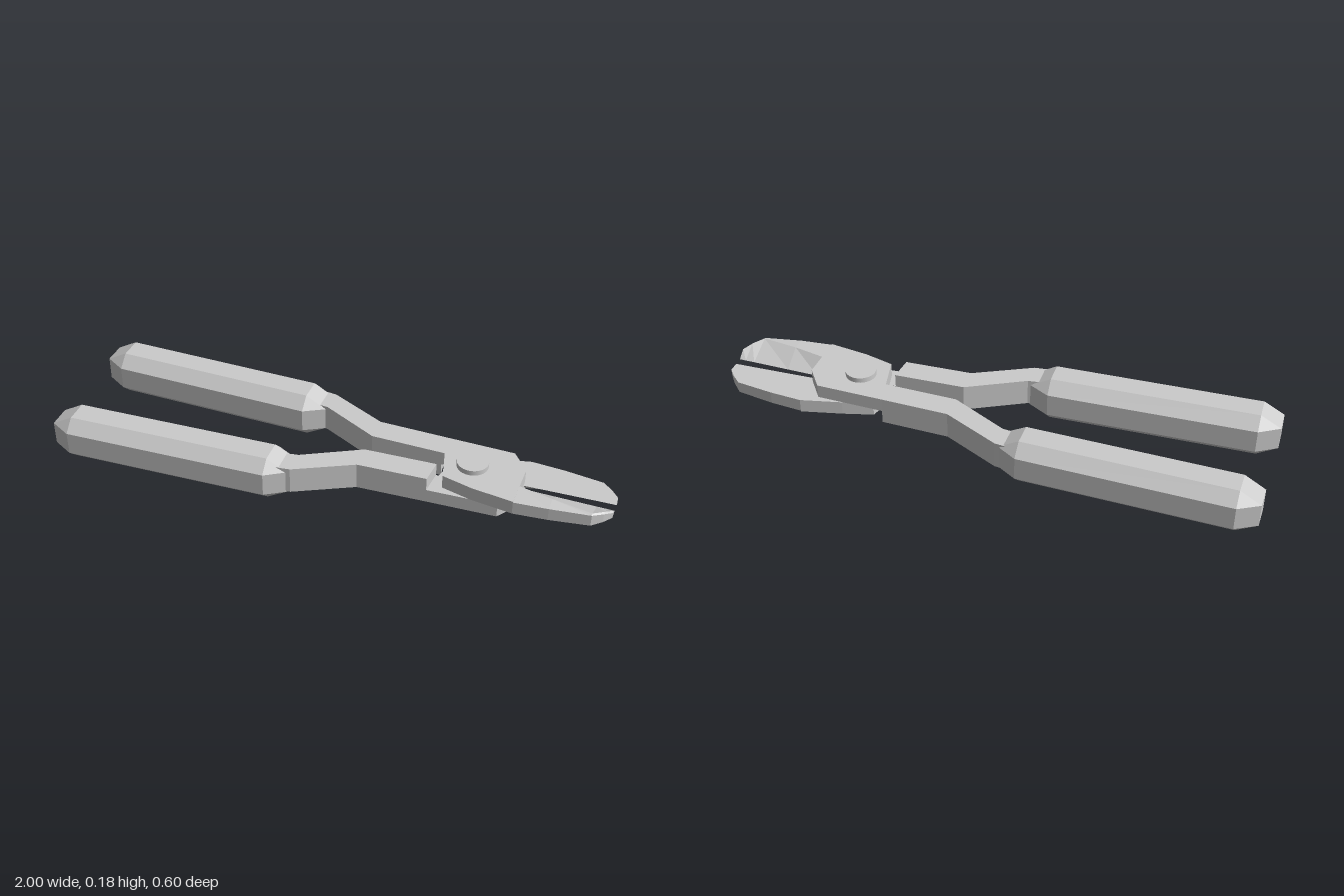
import * as THREE from 'three';
import { ConvexGeometry } from 'three/addons/geometries/ConvexGeometry.js';

const mat = new THREE.MeshStandardMaterial({ color: 0xcccccc, flatShading: true });
const smooth = new THREE.MeshStandardMaterial({ color: 0xcccccc });
const PIVOT = new THREE.Vector3(0.5, 0.097, -0.022);
const LOW = 0.097, BOTTOM = 0.048, TOP = 0.148;

function part(name, geometry, material = mat) {
  const mesh = new THREE.Mesh(geometry, material);
  mesh.name = name;
  return mesh;
}

// Flat plate from a plan outline of [x, z] points, between two heights
function plate(points, y0, y1) {
  const shape = new THREE.Shape(points.map(([x, z]) => new THREE.Vector2(x, -z)));
  const g = new THREE.ExtrudeGeometry(shape, { depth: y1 - y0, bevelEnabled: false });
  return g.rotateX(-Math.PI / 2).translate(0, y0, 0);
}

// Box with single-step bevels on all edges, slightly slanted along x
function gripGeometry(shiftY) {
  const half = [0.45, 0.085, 0.086], bevel = [0.075, 0.042, 0.044];
  const pts = [];
  for (let axis = 0; axis < 3; axis++)
    for (const sx of [-1, 1]) for (const sy of [-1, 1]) for (const sz of [-1, 1]) {
      const [x, y, z] = [sx, sy, sz].map((s, i) => s * (half[i] - (i === axis ? 0 : bevel[i])));
      pts.push(new THREE.Vector3(x - 0.55, y + 0.093 + shiftY, z - 0.21 + x * 0.013));
    }
  return new ConvexGeometry(pts);
}

// Blade lofted through sections: cutting edge, ridge, outer top, outer bottom
function bladeGeometry(shiftZ) {
  const sections = [ // x, outer z, ridge z, edge z, top y
    [0.68, 0.118, 0.03, -0.022, TOP],
    [0.8, 0.107, 0.055, -0.021, 0.147],
    [0.94, 0.085, 0.076, -0.02, 0.143],
    [0.975, 0.052, 0.042, -0.02, 0.134],
    [1.0, 0.02, 0.012, -0.02, 0.122],
  ].map(([x, outer, ridge, edge, top]) =>
    [[edge, LOW], [ridge, top], [outer, top - 0.003], [outer, LOW]].map(([z, y]) => [x, y, z + shiftZ]));
  const pos = [];
  const quad = (a, b, c, d) => pos.push(...a, ...b, ...c, ...a, ...c, ...d);
  for (let i = 0; i < sections.length - 1; i++)
    for (let k = 0; k < 4; k++) {
      const n = (k + 1) % 4;
      quad(sections[i][k], sections[i][n], sections[i + 1][n], sections[i + 1][k]);
    }
  quad(...sections[sections.length - 1]);
  const g = new THREE.BufferGeometry();
  g.setAttribute('position', new THREE.Float32BufferAttribute(pos, 3));
  g.computeVertexNormals();
  return g;
}

// One lever: grip, bent arm, half-thickness pivot plate and blade
function lever(name, gripShiftY, bladeShiftZ) {
  const inner = new THREE.Group();
  inner.add(
    part('grip', gripGeometry(gripShiftY)),
    part('arm', plate([[-0.16, -0.255], [-0.09, -0.248], [0.12, -0.147], [0.37, -0.143],
      [0.38, -0.053], [0.12, -0.056], [-0.09, -0.162], [-0.16, -0.17]], BOTTOM, TOP)),
    part('pivotPlate', plate([[0.37, -0.143], [0.62, -0.14], [0.68, -0.06],
      [0.68, 0.118 + bladeShiftZ], [0.53, 0.098], [0.42, 0.07], [0.39, -0.053], [0.38, -0.053]], LOW, TOP)),
    part('blade', bladeGeometry(bladeShiftZ)),
  );
  inner.position.copy(PIVOT).negate();
  const group = new THREE.Group();
  group.name = name;
  group.add(inner);
  group.position.copy(PIVOT);
  return group;
}

export function createModel() {
  const model = new THREE.Group();
  model.name = 'handTool';

  const back = lever('backLever', 0, 0);
  // The second lever is the first turned over and opened slightly
  const front = lever('frontLever', 0.015, 0.012);
  front.rotation.set(Math.PI, 0.03, 0, 'YXZ');

  const pin = part('pivotPin', new THREE.CylinderGeometry(0.056, 0.056, 0.149, 32), smooth);
  pin.position.set(PIVOT.x, 0.0925, PIVOT.z);

  model.add(back, front, pin);
  return model;
}
